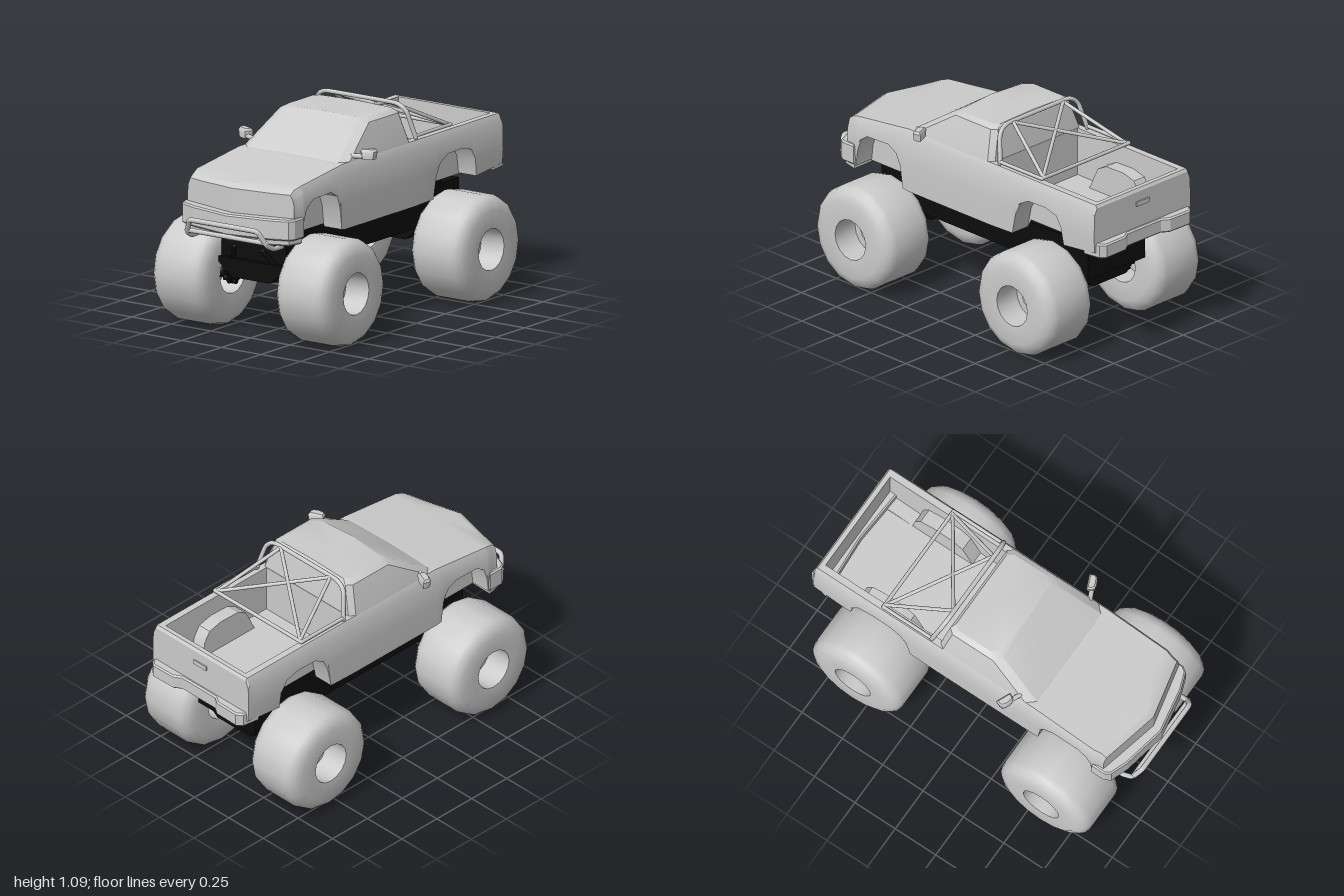
import * as THREE from 'three';
import { toCreasedNormals } from 'three/addons/utils/BufferGeometryUtils.js';

const grey = new THREE.MeshStandardMaterial({ color: 0xcccccc });
const black = new THREE.MeshStandardMaterial({ color: 0x0c0c0c });

function add(parent, name, geometry, material = grey) {
  const mesh = new THREE.Mesh(geometry, material);
  mesh.name = name;
  parent.add(mesh);
  return mesh;
}

// Completes a half outline, starting and ending on x = 0, with its mirror image
const mirrored = (half) => [...half, ...half.slice(1, -1).reverse().map(([x, ...rest]) => [-x, ...rest])];

// Skins a row of equal closed rings and caps both ends
function loft(rings, crease = 0.5, warp = null) {
  const pos = [];
  const tri = (...pts) => pts.forEach((p) => pos.push(...(warp ? warp(p) : p)));
  const n = rings[0].length;
  const centre = (ring) => [0, 1, 2].map((k) => ring.reduce((s, p) => s + p[k], 0) / n);
  const first = rings[0], last = rings[rings.length - 1];
  for (let j = 0; j < n; j++) {
    const k = (j + 1) % n;
    for (let i = 0; i < rings.length - 1; i++) {
      const a = rings[i][j], b = rings[i][k], c = rings[i + 1][k], d = rings[i + 1][j];
      tri(a, b, c);
      tri(a, c, d);
    }
    tri(centre(first), first[k], first[j]);
    tri(centre(last), last[j], last[k]);
  }
  const g = new THREE.BufferGeometry();
  g.setAttribute('position', new THREE.Float32BufferAttribute(pos, 3));
  return toCreasedNormals(g, crease);
}

// Raises a mirrored plan outline (x, z) from y0 to y1 with a small bevel
function plan(half, y0, y1, bevel = 0.008) {
  const shape = new THREE.Shape(mirrored(half).map(([x, z]) => new THREE.Vector2(x, -z)));
  const g = new THREE.ExtrudeGeometry(shape, {
    depth: y1 - y0 - 2 * bevel, bevelThickness: bevel, bevelSize: bevel, bevelOffset: -bevel, bevelSegments: 1,
  });
  return g.rotateX(-Math.PI / 2).translate(0, y0 + bevel, 0);
}

// Round bar through a few points
function bar(parent, name, pts, r = 0.012, material = grey) {
  const v = pts.map((p) => new THREE.Vector3(...p));
  const curve = v.length === 2 ? new THREE.LineCurve3(...v) : new THREE.CatmullRomCurve3(v, false, 'catmullrom', 0.15);
  const steps = v.length === 2 ? 1 : v.length * 6;
  const m = add(parent, name, new THREE.TubeGeometry(curve, steps, r, 8), material);
  for (const p of [v[0], v[v.length - 1]]) {
    add(m, name + 'End', new THREE.SphereGeometry(r, 8, 6).translate(p.x, p.y, p.z), material);
  }
}

function makeBody() {
  // z, lower edge of the side (with wheel arches), open bed or not
  const rows = [
    [-0.955, 0.63, 0], [-0.945, 0.63, 0], [-0.92, 0.625, 0], [-0.92, 0.625, 1], [-0.73, 0.605, 1],
    [-0.715, 0.7, 1], [-0.68, 0.755, 1], [-0.6, 0.775, 1], [-0.48, 0.772, 1], [-0.42, 0.74, 1],
    [-0.385, 0.67, 1], [-0.36, 0.555, 1], [-0.2, 0.55, 1], [-0.2, 0.55, 0], [0.4, 0.55, 0],
    [0.43, 0.555, 0], [0.445, 0.67, 0], [0.475, 0.74, 0], [0.53, 0.77, 0], [0.68, 0.765, 0],
    [0.73, 0.73, 0], [0.755, 0.66, 0], [0.765, 0.575, 0], [0.88, 0.57, 0], [0.91, 0.57, 0],
  ];
  const rings = rows.map(([z, b, bed], i) => {
    const top = i === 0 ? 0.875 : z < 0.4 ? 0.89 : i === rows.length - 1 ? 0.812 : 0.89 - 0.12 * (z - 0.4);
    const floor = bed ? 0.63 : top;
    const hump = bed ? Math.max(0.63, b + 0.015) : top;
    const under = z < -0.3 ? 0.6 : 0.57;
    const s = z > 0.85 ? 0.97 : 1;
    return mirrored([
      [0, under], [0.23, under], [0.23, b], [0.343, b], [0.348, Math.max(0.7, b)], [0.345, top - 0.04],
      [0.327, top], [0.29, top], [0.29, hump], [0.215, hump], [0.215, floor], [0, floor + (bed || z < 0 ? 0 : 0.006)],
    ].map(([x, y]) => [x * s, y, z]));
  });
  // Swept-back nose
  const sweep = ([x, y, z]) => [x, y, z - 0.23 * Math.abs(x) * THREE.MathUtils.clamp((z - 0.765) / 0.115, 0, 1)];
  return loft(rings, 0.45, sweep);
}

function makeCabin() {
  const levels = [[0.875, 0.42, -0.2, 0.33], [0.9, 0.385, -0.197, 0.326], [1.045, 0.165, -0.172, 0.28],
    [1.063, 0.13, -0.155, 0.25]];
  return loft(levels.map(([y, zf, zr, w]) => mirrored([
    [0, zf], [w - 0.04, zf - 0.012], [w, zf - 0.055], [w, zr + 0.03], [w - 0.025, zr], [0, zr],
  ].map(([x, z]) => [x, x === 0 && y > 1.05 ? y + 0.006 : y, z]))), 0.4);
}

function makeWheel() {
  const wheel = new THREE.Group();
  // radius, distance along the axle (outside is positive)
  const profile = [[0, -0.03], [0.11, -0.03], [0.11, -0.165], [0.21, -0.17], [0.25, -0.153], [0.272, -0.13],
    [0.281, -0.1], [0.281, 0.1], [0.272, 0.13], [0.25, 0.153], [0.21, 0.17], [0.11, 0.165], [0.11, 0.02],
    [0.045, 0.02], [0.045, 0.045], [0, 0.045]].map(([r, a]) => new THREE.Vector2(r, a));
  const tyre = new THREE.LatheGeometry(profile, 16).rotateZ(-Math.PI / 2);
  add(wheel, 'tyre', toCreasedNormals(tyre, 0.75));
  // Inner hub with its bolts
  add(wheel, 'hub', new THREE.CylinderGeometry(0.035, 0.035, 0.16, 12).rotateZ(Math.PI / 2).translate(-0.11, 0, 0), black);
  for (let i = 0; i < 6; i++) {
    const a = (i * Math.PI) / 3;
    const bolt = new THREE.CylinderGeometry(0.014, 0.014, 0.05, 8).rotateZ(Math.PI / 2);
    add(wheel, 'hubBolt', bolt.translate(-0.165, 0.045 * Math.cos(a), 0.045 * Math.sin(a)), black);
  }
  return wheel;
}

export function createModel() {
  const truck = new THREE.Group();
  truck.name = 'monsterTruck';

  add(truck, 'body', makeBody());
  add(truck, 'cabin', makeCabin());
  add(truck, 'tailgateHandle', new THREE.BoxGeometry(0.09, 0.025, 0.012).translate(0, 0.81, -0.956));

  // Bumpers
  add(truck, 'frontBumper', plan([[0, 0.96], [0.24, 0.915], [0.335, 0.88], [0.355, 0.85], [0.355, 0.77],
    [0.3, 0.77], [0, 0.8]], 0.58, 0.69));
  add(truck, 'frontValance', plan([[0, 0.94], [0.24, 0.895], [0.325, 0.86], [0.345, 0.775], [0.28, 0.775],
    [0, 0.78]], 0.548, 0.59));
  add(truck, 'rearBumper', plan([[0, -0.97], [0.12, -0.97], [0.16, -0.997], [0.3, -1], [0.33, -0.975],
    [0.345, -0.88], [0.3, -0.88], [0, -0.9]], 0.6, 0.68));

  // Bull bar
  const both = (half) => [...half, ...half.slice().reverse().map(([x, y, z]) => [-x, y, z])];
  bar(truck, 'bullBar', both([[0.262, 0.535, 0.84], [0.258, 0.535, 0.9], [0.25, 0.56, 0.95], [0.22, 0.625, 0.98],
    [0.195, 0.636, 0.986]]), 0.014);
  bar(truck, 'lowerBullBar', [[-0.25, 0.572, 0.955], [0.25, 0.572, 0.955]], 0.013);

  // Roll cage over the bed
  const cage = new THREE.Group();
  cage.name = 'rollCage';
  truck.add(cage);
  bar(cage, 'hoop', both([[0.315, 0.9, -0.245], [0.285, 1.03, -0.213], [0.262, 1.06, -0.205], [0.21, 1.078, -0.2]]));
  bar(cage, 'rearCrossbar', [[-0.315, 0.908, -0.545], [0.315, 0.908, -0.545]], 0.01);
  for (const s of [-1, 1]) {
    bar(cage, 'railBar', [[0.315 * s, 0.908, -0.245], [0.315 * s, 0.908, -0.545]], 0.01);
    bar(cage, 'downTube', [[0.18 * s, 1.075, -0.205], [0.3 * s, 0.91, -0.54]], 0.01);
    bar(cage, 'crossBrace', [[0.18 * s, 1.075, -0.205], [-0.3 * s, 0.91, -0.54]], 0.01);
  }

  // Chassis
  add(truck, 'chassis', new THREE.BoxGeometry(0.41, 0.195, 1.49).translate(0, 0.4725, -0.025), black);

  for (const [end, z] of [['front', 0.595], ['rear', -0.57]]) {
    const keel = [-0.15, 0.15].map((dz) => mirrored([[0, 0.3], [0.12, 0.3], [0.205, 0.37], [0.205, 0.4], [0, 0.4]]
      .map(([x, y]) => [x, y, z + dz])));
    add(truck, end + 'AxleHousing', loft(keel), black);

    for (const s of [1, -1]) {
      const side = end + (s > 0 ? 'Left' : 'Right');
      const wheel = makeWheel();
      wheel.name = side + 'Wheel';
      wheel.position.set(0.39 * s, 0.28, z);
      if (s < 0) wheel.rotation.y = Math.PI;
      truck.add(wheel);

      // Suspension arms and mounts
      for (const d of [-1, 1]) {
        bar(truck, side + 'LowerArm', [[0.09 * s, 0.47, z + 0.17 * d], [0.225 * s, 0.24, z + 0.03 * d]], 0.014, black);
        bar(truck, side + 'UpperArm', [[0.12 * s, 0.53, z + 0.09 * d], [0.24 * s, 0.29, z + 0.03 * d]], 0.014, black);
        add(truck, side + 'Mount', new THREE.BoxGeometry(0.03, 0.035, 0.04)
          .translate(0.18 * s, 0.583, z + 0.035 * d), black);
      }
    }
  }

  // Door mirrors
  for (const s of [1, -1]) {
    const mirror = new THREE.Group();
    mirror.name = (s > 0 ? 'left' : 'right') + 'Mirror';
    truck.add(mirror);
    bar(mirror, 'mirrorArm', [[0.315 * s, 0.912, 0.3], [0.37 * s, 0.912, 0.275]], 0.013);
    const shell = [[0.9, 0.036, 0.02], [0.94, 0.042, 0.022], [0.952, 0.034, 0.014]].map(([y, w, d]) => mirrored(
      [[0, d + 0.004], [w * 0.75, d], [w, d * 0.3], [w, -d], [0, -d]].map(([x, z]) => [x, y, z])));
    const housing = add(mirror, 'mirrorHousing', loft(shell, 0.7));
    housing.position.set(0.39 * s, 0, 0.262);
    housing.rotation.y = 0.4 * s;
  }
  return truck;
}
